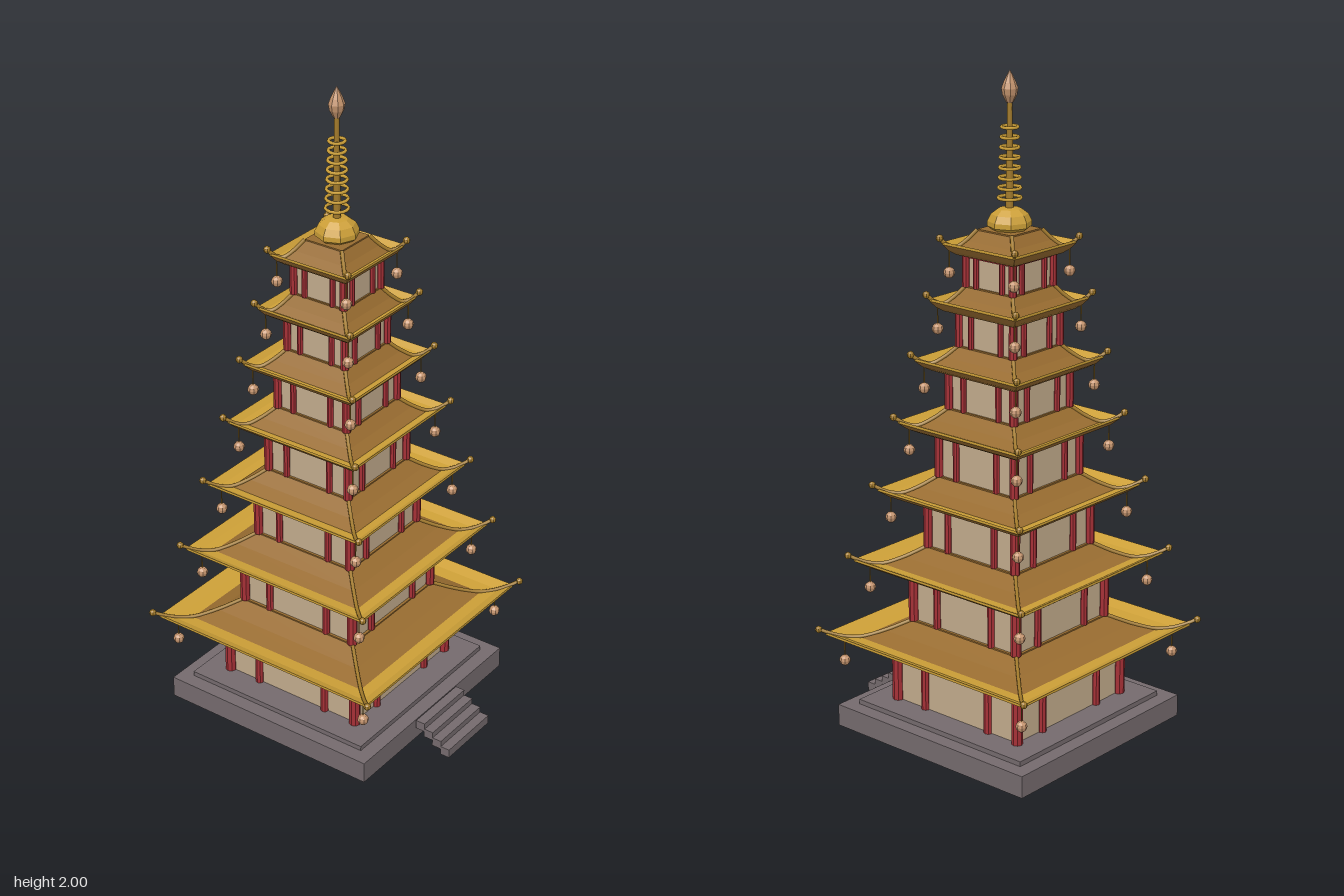
import * as THREE from 'three';

const mat = (name, color) => Object.assign(new THREE.MeshStandardMaterial({ color }), { name });

export function createModel() {
  const stone = mat('grey stone', 0x746a6d);
  const red = mat('red lacquer', 0xa53036);
  const plaster = mat('tan plaster', 0xc2ab8c);
  const gold = mat('gold eaves', 0xcc9f37);
  const darkGold = mat('dark gold trim', 0xa27a2a);
  const tile = mat('brown roof tile', 0x986c30);
  const copper = mat('copper', 0xc2926c);

  const model = new THREE.Group();
  model.name = 'pagoda';
  const tower = new THREE.Group();
  tower.name = 'tower';
  tower.position.z = -0.042;
  model.add(tower);

  // Faceted normals
  const flat = (g) => {
    const f = g.index ? g.toNonIndexed() : g;
    f.computeVertexNormals();
    return f;
  };
  const add = (parent, name, geo, material, x = 0, y = 0, z = 0) => {
    const m = new THREE.Mesh(geo, material);
    m.name = name;
    m.position.set(x, y, z);
    parent.add(m);
    return m;
  };
  const box = (w, y0, y1, d) => new THREE.BoxGeometry(w, y1 - y0, d).translate(0, (y0 + y1) / 2, 0);
  const lathe = (pts, sides) => flat(new THREE.LatheGeometry(pts.map(([r, y]) => new THREE.Vector2(r, y)), sides));
  // Four-sided skin through [half width, height] points
  const square = (pts) => flat(new THREE.LatheGeometry(
    pts.map(([h, y]) => new THREE.Vector2(h * Math.SQRT2, y)), 4, Math.PI / 4));

  // Stone platform and stairs
  add(tower, 'platform', box(0.73, 0.012, 0.08, 0.73), stone);
  add(tower, 'upperPlatform', box(0.64, 0.08, 0.095, 0.64), stone);
  for (let i = 0; i < 4; i++) {
    add(model, 'stairStep', box(0.214, i * 0.019, i * 0.019 + 0.028, 0.031), stone, 0, 0, 0.435 - i * 0.03);
  }

  // Storeys: outer half width of columns, tip half width, floor height, roof top height
  const storeys = [
    [0.254, 0.403, 0.095, 0.352],
    [0.217, 0.338, 0.35, 0.586],
    [0.184, 0.285, 0.584, 0.806],
    [0.159, 0.239, 0.804, 1.014],
    [0.137, 0.202, 1.012, 1.202],
    [0.115, 0.169, 1.2, 1.38],
    [0.1, 0.141, 1.378, 1.546],
  ];

  storeys.forEach(([half, tip, floor, top], i) => {
    const storey = new THREE.Group();
    storey.name = 'storey' + (i + 1);
    tower.add(storey);
    const k = tip / 0.403;
    const soffit = top - 0.074;
    const colR = 0.009 + 0.008 * k;
    const c = half - colR;

    // Walls with red columns and beams
    add(storey, 'wall', box(2 * c - 0.006, floor, soffit + 0.01, 2 * c - 0.006), plaster);
    add(storey, 'topBeam', box(2 * c + 0.006, soffit - 0.008, soffit + 0.004, 2 * c + 0.006), red);
    const h = soffit + 0.004 - floor;
    const column = flat(new THREE.CylinderGeometry(colR, colR, h, 8));
    const thin = flat(new THREE.CylinderGeometry(colR * 0.75, colR * 0.75, h, 8));
    const cy = floor + h / 2;
    for (const sx of [-1, 1]) {
      for (const sz of [-1, 1]) {
        add(storey, 'cornerColumn', column, red, sx * c, cy, sz * c);
        add(storey, 'frontBackColumn', thin, red, sx * half * 0.49, cy, sz * c);
        add(storey, 'sideColumn', thin, red, sx * c, cy, sz * half * 0.49);
      }
    }

    // Roof: steep tiled slope turning up into a gold eave, brown underneath
    const eave = tip * 0.963;
    const inner = i < 6 ? storeys[i + 1][0] - 0.01 : 0.065;
    const at = (t) => inner + (eave - inner) * t;
    const low = [at(0.6), top - 0.054];
    const slope = [low, [at(0.3), top - 0.034], [inner, top - 0.004]];
    const flare = [[eave, top - 0.036], [at(0.82), top - 0.05], low];
    const lip = [eave, top - 0.044];
    add(storey, 'eaveUnderside', square([[c * 0.9, soffit], [at(0.6), soffit], [at(0.82), top - 0.062], lip]), tile);
    add(storey, 'eave', square([lip, ...flare]), gold);
    add(storey, 'roofSlope', square([...slope, [inner, top], [0, top]]), tile);

    // Corner ridges, tip balls and hanging bells
    const profile = [[tip, top - 0.027], ...flare, ...slope.slice(1)];
    for (const sx of [-1, 1]) {
      for (const sz of [-1, 1]) {
        const path = new THREE.CatmullRomCurve3(
          profile.map(([r, y]) => new THREE.Vector3(sx * r, y + 0.003, sz * r)));
        add(storey, 'cornerRidge', new THREE.TubeGeometry(path, 14, 0.006, 6), darkGold);
        add(storey, 'ridgeTip', flat(new THREE.SphereGeometry(0.011, 8, 6)), darkGold, sx * tip, top - 0.025, sz * tip);
        const b = tip * 0.866;
        add(storey, 'bellCord', new THREE.CylinderGeometry(0.002, 0.002, 0.07, 5), darkGold, sx * b, top - 0.085, sz * b);
        add(storey, 'bell', flat(new THREE.SphereGeometry(0.017, 8, 6)), copper, sx * b, top - 0.126, sz * b);
      }
    }
  });

  // Spire: faceted dome, mast, rings and bud
  const spire = new THREE.Group();
  spire.name = 'spire';
  tower.add(spire);
  add(spire, 'dome', lathe([[0.045, 1.54], [0.064, 1.555], [0.064, 1.57], [0.054, 1.59], [0.034, 1.605], [0, 1.61]], 8), gold);
  add(spire, 'mast', new THREE.CylinderGeometry(0.007, 0.012, 0.33, 8), darkGold, 0, 1.76, 0);
  for (let i = 0; i < 8; i++) {
    const r = 0.033 - i * 0.0014;
    const y = 1.636 + i * 0.029;
    add(spire, 'spireRing', new THREE.TorusGeometry(r, 0.005, 6, 16).rotateX(Math.PI / 2), gold, 0, y, 0);
  }
  add(spire, 'bud', lathe([[0, 1.905], [0.01, 1.908], [0.021, 1.93], [0.024, 1.948], [0.018, 1.965], [0.007, 1.988], [0, 2]], 8), copper);

  return model;
}
